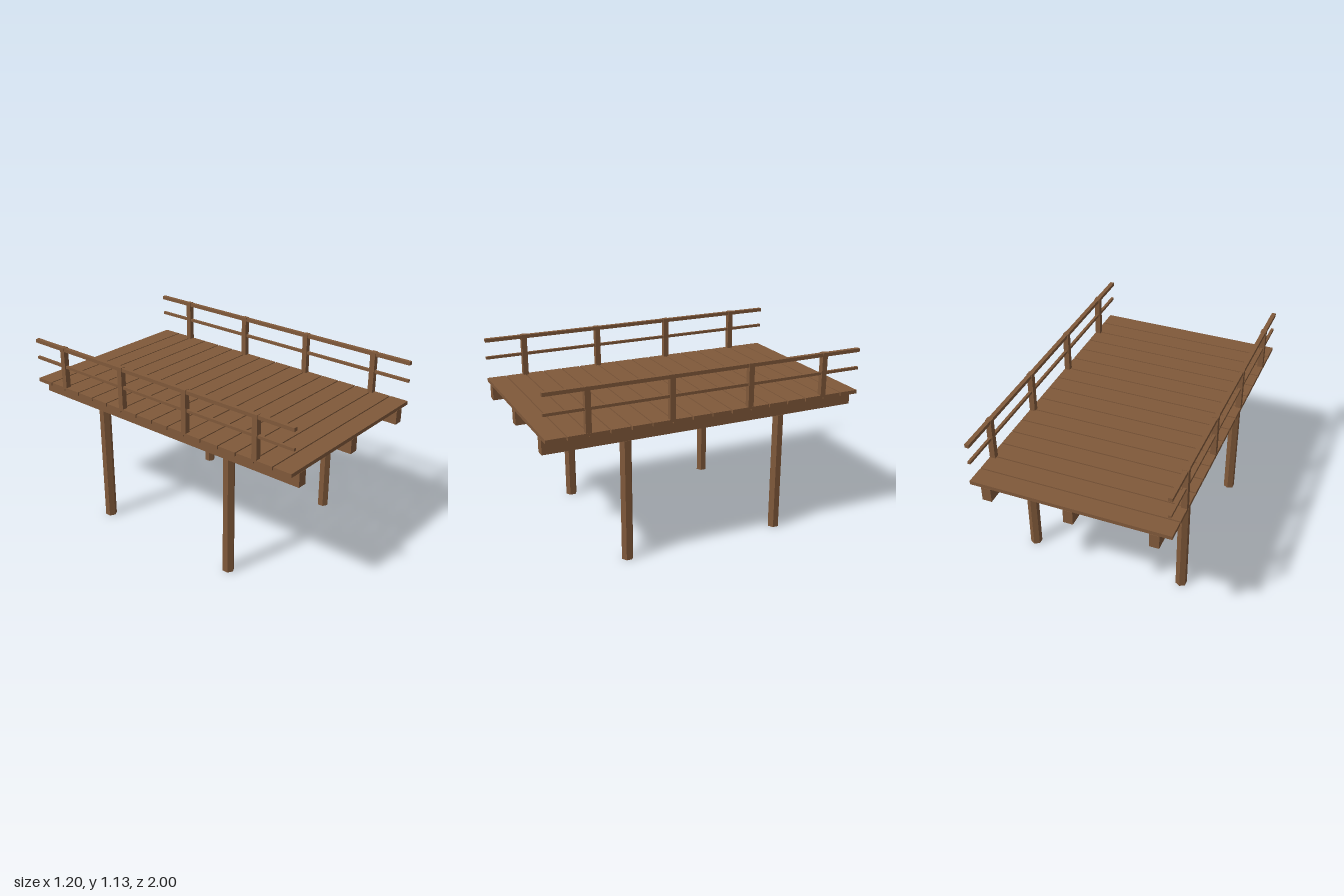
import * as THREE from 'three';

export function createModel() {
  const model = new THREE.Group();
  model.name = 'woodenPier';
  const wood = new THREE.MeshStandardMaterial({ color: 0x80593a });
  wood.name = 'brown wood';
  wood.flatShading = true;

  const add = (name, geometry, x, y, z) => {
    const mesh = new THREE.Mesh(geometry, wood);
    mesh.name = name;
    mesh.position.set(x, y, z);
    model.add(mesh);
  };

  // Deck planks laid across the pier with narrow gaps
  const plank = new THREE.BoxGeometry(1.2, 0.023, 0.117);
  for (let i = 0; i < 16; i++) add('deckPlank', plank, 0, 0.8515, -0.9375 + i * 0.125);

  // Beams running lengthwise under the deck
  const beam = new THREE.BoxGeometry(0.058, 0.088, 1.996);
  for (const x of [-0.5, 0, 0.5]) add('beam', beam, x, 0.796, 0);

  // Six-sided legs, then railings, mirrored on both sides
  const leg = new THREE.CylinderGeometry(0.036, 0.036, 0.752, 6);
  const post = new THREE.BoxGeometry(0.034, 0.278, 0.034);
  const topRail = new THREE.BoxGeometry(0.026, 0.022, 2);
  const midRail = new THREE.BoxGeometry(0.017, 0.017, 2);
  for (const side of [-1, 1]) {
    for (const z of [-0.5, 0.5]) add('leg', leg, side * 0.5, 0.376, z);
    for (const z of [-0.75, -0.25, 0.25, 0.75]) add('railingPost', post, side * 0.5825, 0.988, z);
    add('topRail', topRail, side * 0.583, 1.114, 0);
    add('midRail', midRail, side * 0.583, 1.0, 0);
  }
  return model;
}
